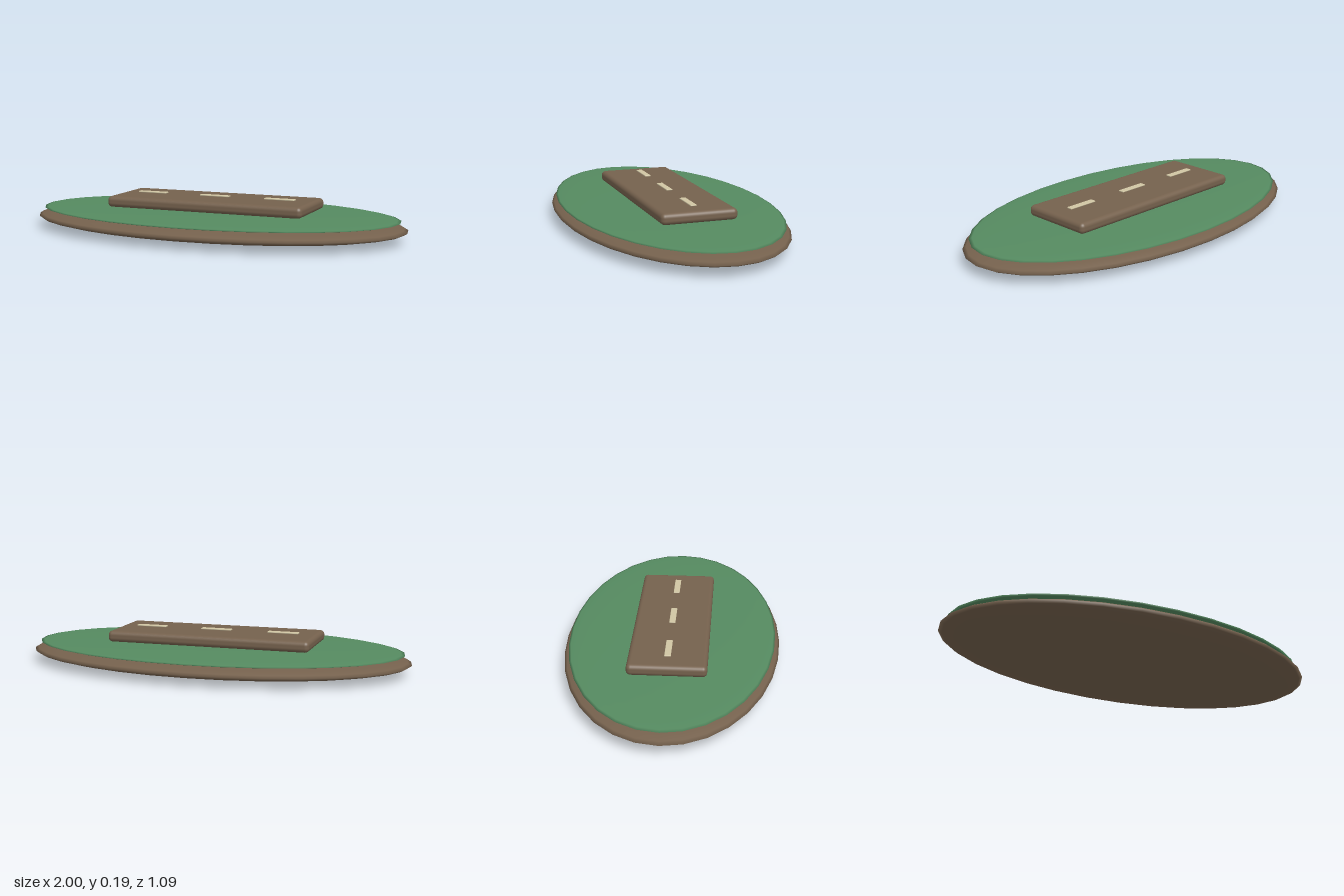
import * as THREE from 'three';
import { RoundedBoxGeometry } from 'three/addons/geometries/RoundedBoxGeometry.js';

function material(name, color) {
  const m = new THREE.MeshStandardMaterial({ color });
  m.name = name;
  return m;
}

export function createModel() {
  const model = new THREE.Group();
  model.name = 'roadIsland';
  const earth = material('earthBrown', 0x75614d);
  const grass = material('grassGreen', 0x558a60);
  const paint = material('paleCream', 0xd0c5a3);

  function add(name, geometry, mat, x, y, z) {
    const mesh = new THREE.Mesh(geometry, mat);
    mesh.name = name;
    mesh.position.set(x, y, z);
    model.add(mesh);
  }

  // flattened ellipsoid discs
  const disc = (rx, ry, rz) => new THREE.SphereGeometry(1, 32, 16).scale(rx, ry, rz);
  add('earthBase', disc(1, 0.058, 0.545), earth, 0, 0.06, 0);
  add('grassTop', disc(0.965, 0.019, 0.523), grass, 0, 0.105, 0);

  // road slab hovering just above the grass
  add('roadSlab', new RoundedBoxGeometry(1.052, 0.056, 0.385, 4, 0.022), earth, 0, 0.156, 0);

  // centre line dashes
  for (const x of [-0.352, 0, 0.352]) {
    add('laneDash', new RoundedBoxGeometry(0.16, 0.007, 0.032, 2, 0.003), paint, x, 0.191, 0);
  }
  return model;
}
